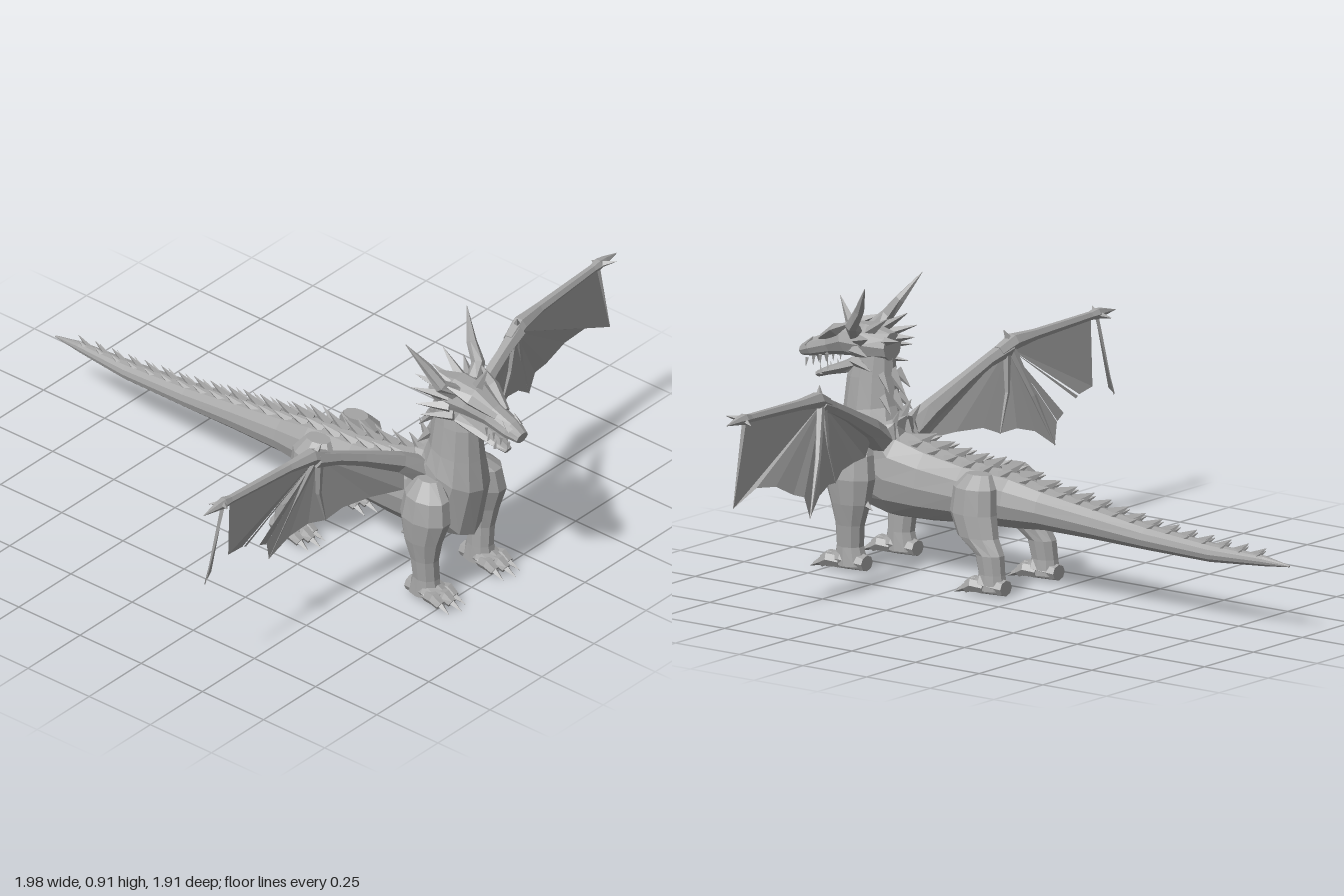
import * as THREE from 'three';

const V = (x, y, z) => new THREE.Vector3(x, y, z);
const hide = new THREE.MeshStandardMaterial({ color: 0xa4a4a4 });
hide.name = 'grey hide';
const wingSkin = new THREE.MeshStandardMaterial({ color: 0xa4a4a4, side: THREE.DoubleSide });
wingSkin.name = 'grey wing skin';

// Faceted mesh from a list of corner points, three per triangle
function facets(name, corners, material = hide) {
  const geo = new THREE.BufferGeometry().setFromPoints(corners);
  geo.computeVertexNormals();
  const mesh = new THREE.Mesh(geo, material);
  mesh.name = name;
  return mesh;
}

// Closed skin over a row of rings
function skin(name, rings) {
  const tri = [], n = rings[0].length;
  const centre = r => r.reduce((s, p) => s.add(p), V(0, 0, 0)).divideScalar(n);
  const first = rings[0], last = rings[rings.length - 1];
  const c0 = centre(first), c1 = centre(last);
  for (let j = 0; j < n; j++) {
    const k = (j + 1) % n;
    for (let i = 0; i < rings.length - 1; i++) {
      const a = rings[i], b = rings[i + 1];
      tri.push(a[j], a[k], b[j], a[k], b[k], b[j]);
    }
    tri.push(c0, first[k], first[j], c1, last[j], last[k]);
  }
  return facets(name, tri);
}

function ring(c, side, up, n) {
  return Array.from({ length: n }, (_, j) => {
    const a = (j / n) * Math.PI * 2;
    return c.clone().addScaledVector(side, Math.cos(a)).addScaledVector(up, Math.sin(a));
  });
}

// Sections: x, y, z, half width, half height, tilt in degrees
const upOf = tilt => V(0, Math.cos(tilt * Math.PI / 180), -Math.sin(tilt * Math.PI / 180));
function loft(name, sections, n = 12) {
  return skin(name, sections.map(([x, y, z, rx, ry, tilt = 0]) =>
    ring(V(x, y, z), V(rx, 0, 0), upOf(tilt).multiplyScalar(ry), n)));
}

// Tapered limb along points x, y, z, radius; flat squeezes it sideways
function limb(name, pts, n = 6, flat = 1) {
  const p = pts.map(q => V(q[0], q[1], q[2]));
  return skin(name, p.map((c, i) => {
    const t = p[Math.min(i + 1, p.length - 1)].clone().sub(p[Math.max(i - 1, 0)]).normalize();
    const side = t.clone().cross(Math.abs(t.y) > 0.95 ? V(0, 0, 1) : V(0, 1, 0)).normalize();
    const up = t.clone().cross(side);
    return ring(c, side.multiplyScalar(pts[i][3] * flat), up.multiplyScalar(pts[i][3]), n);
  }));
}
const spike = (name, a, b, r, flat = 1) => limb(name, [[...a, r], [...b, 0.001]], 4, flat);

const BODY = [
  [0, .222, -.95, .003, .003], [0, .225, -.85, .017, .017], [0, .222, -.65, .034, .03],
  [0, .235, -.4, .046, .04], [0, .252, -.2, .056, .053], [0, .268, 0, .07, .068],
  [0, .277, .12, .09, .088], [0, .28, .3, .095, .1], [0, .287, .45, .1, .12],
  [0, .3, .57, .108, .138, 6], [0, .345, .655, .108, .178, 36], [0, .43, .69, .1, .118, 66],
  [0, .5, .69, .08, .096, 82], [0, .6, .69, .064, .085, 85], [0, .68, .68, .05, .07, 75],
];

// Spine fins with smaller scales on both sides
function addSpines(g) {
  const curve = new THREE.CatmullRomCurve3(BODY.map(([x, y, z, , ry, t = 0]) =>
    V(x, y, z).addScaledVector(upOf(t), ry)));
  const width = new THREE.CatmullRomCurve3(BODY.map(s => V(s[3], 0, s[2])));
  const count = 24;
  for (let i = 0; i < count; i++) {
    const u = 0.07 + 0.88 * i / (count - 1);
    const p = curve.getPointAt(u), t = curve.getTangentAt(u);
    const up = V(0, t.z, -t.y), w = width.getPointAt(u).x, size = 0.5 + 0.5 * Math.min(1, u * 1.8);
    const at = (x, back, rise) => p.clone().addScaledVector(t, -back).addScaledVector(up, rise).setX(x).toArray();
    g.add(spike('spineFin', at(0, -.015, -.012), at(0, .06 * size, .042 * size), .028 * size, .3));
    for (const s of [-1, 1])
      g.add(spike('backScale', at(s * w * .36, -.01, -.018), at(s * w * .5, .045 * size, .02 * size), .02 * size, .6));
  }
}

function addHead(g) {
  g.add(loft('skull', [
    [0, .7, .61, .045, .045], [0, .705, .69, .072, .062, -8], [0, .705, .77, .068, .055, -15],
    [0, .68, .84, .045, .037, -18], [0, .657, .915, .04, .03, -15], [0, .642, .957, .026, .018, -10],
  ], 10));
  g.add(loft('lowerJaw', [
    [0, .64, .7, .055, .035, -25], [0, .61, .79, .043, .02, -25],
    [0, .588, .86, .032, .014, -25], [0, .572, .9, .016, .01, -25],
  ], 8));
  g.add(spike('browCrest', [0, .745, .77], [0, .835, .815], .022, .5));
  for (const s of [-1, 1]) {
    g.add(limb('horn', [[s * .045, .735, .72, .026], [s * .09, .77, .7, .022], [s * .105, .825, .66, .017], [s * .147, .912, .605, .001]]));
    g.add(limb('browRidge', [[s * .025, .695, .87, .012], [s * .058, .74, .79, .02], [s * .085, .775, .71, .001]], 4));
    g.add(spike('nostril', [s * .022, .665, .925], [s * .028, .695, .9], .014));
    // Swept spikes behind the cheeks and skull
    const sweep = [
      [.055, .715, .7, .125, .745, .61, .022], [.06, .685, .71, .115, .685, .62, .022],
      [.05, .65, .72, .095, .635, .62, .02], [.03, .74, .68, .05, .8, .59, .02],
      [.025, .715, .65, .04, .73, .555, .022],
    ];
    for (const [x, y, z, X, Y, Z, r] of sweep) g.add(spike('cheekSpike', [s * x, y, z], [s * X, Y, Z], r));
    for (let i = 0; i < 4; i++) {
      const z = .84 + i * .028;
      g.add(spike('upperTooth', [s * (.036 - i * .003), .652 - i * .009, z], [s * .033, .618 - i * .006, z], .007));
      if (i < 2) g.add(spike('lowerTooth', [s * .028, .592 - i * .012, z], [s * .026, .622 - i * .012, z + .005], .006));
    }
  }
}

// Foot with three clawed toes
function addFoot(g, s, x, heel, toe) {
  g.add(loft('foot', [[s * x, .03, heel, .03, .025], [s * x, .04, heel + .08, .045, .038], [s * x, .026, toe - .06, .046, .024]], 8));
  for (const k of [-1, 0, 1]) {
    const tx = s * x + k * .034, z = toe - Math.abs(k) * .018;
    g.add(limb('toe', [[s * x + k * .024, .03, z - .09, .022], [tx, .035, z - .05, .022], [tx, .02, z - .025, .017]]));
    g.add(spike('claw', [tx, .024, z - .03], [tx + k * .006, .004, z + .015], .013));
  }
}

function addLegs(g, s) {
  const leg = (name, rows) => g.add(loft(name, rows.map(([x, ...r]) => [s * x, ...r, -90]), 10));
  leg('frontLeg', [
    [.1, .42, .66, .03, .04], [.127, .375, .675, .055, .08], [.135, .3, .675, .06, .092],
    [.138, .22, .668, .05, .07], [.135, .15, .672, .041, .05], [.13, .08, .675, .04, .046], [.13, .02, .67, .045, .06],
  ]);
  leg('hindLeg', [
    [.09, .37, .2, .03, .045], [.112, .33, .2, .05, .076], [.12, .25, .2, .052, .084],
    [.128, .18, .175, .046, .074], [.133, .13, .125, .04, .05], [.135, .07, .115, .037, .046], [.135, .02, .115, .042, .055],
  ]);
  addFoot(g, s, .13, .61, .805);
  addFoot(g, s, .135, .06, .235);
  g.add(spike('elbowSpur', [s * .138, .23, .62], [s * .14, .205, .58], .02));
}

function addWing(g, s) {
  const bone = (name, pts, n) => g.add(limb(name, pts.map(([x, ...r]) => [s * x, ...r]), n));
  bone('wingArm', [[.08, .42, .6, .045], [.15, .47, .58, .034], [.3, .545, .555, .024], [.4, .59, .54, .022], [.485, .62, .525, .028]]);
  bone('wingForearm', [[.44, .61, .53, .022], [.5, .635, .52, .027], [.6, .64, .512, .018], [.87, .65, .502, .014], [.9, .652, .5, .019], [.93, .652, .5, .014], [.992, .648, .498, .001]]);
  bone('wristClaw', [[.49, .63, .52, .018], [.47, .675, .535, .001]], 4);
  bone('tipClaw', [[.9, .65, .5, .014], [.935, .664, .545, .001]], 4);
  bone('tipClaw', [[.9, .65, .5, .014], [.92, .64, .458, .001]], 4);
  bone('outerFinger', [[.485, .62, .52, .016], [.55, .46, .48, .01], [.625, .29, .452, .002]]);
  bone('innerFinger', [[.47, .61, .525, .016], [.46, .48, .515, .01], [.42, .355, .51, .002]]);
  bone('tipFinger', [[.9, .645, .5, .008], [.972, .38, .488, .001]], 4);

  // Skin panels as fans of points; the right wing has torn outer skin
  const wrist = [.475, .62, .522], outer = [.625, .29, .453], end = [.895, .64, .5];
  const panels = [
    [wrist, [.3, .545, .555], [.13, .46, .585], [.15, .375, .6], [.26, .385, .56], [.36, .383, .53], [.42, .357, .51]],
    [wrist, [.42, .357, .51], [.48, .365, .49], [.55, .345, .473], outer],
  ];
  if (s > 0) panels.push([wrist, outer, [.645, .36, .46], [.69, .375, .468], [.77, .415, .475], [.86, .427, .482], [.972, .38, .488], end]);
  else panels.push(
    [wrist, outer, [.645, .36, .46]], [wrist, [.65, .36, .462], [.69, .378, .468]],
    [wrist, [.76, .41, .474], [.772, .416, .475]],
    [wrist, [.78, .42, .476], [.855, .43, .482], [.87, .64, .5]],
    [end, [.94, .41, .485], [.978, .38, .488]]);
  const tri = [];
  for (const panel of panels) {
    const p = panel.map(([x, y, z]) => V(s * x, y, z));
    for (let i = 1; i < p.length - 1; i++)
      tri.push(...(s > 0 ? [p[0], p[i], p[i + 1]] : [p[0], p[i + 1], p[i]]));
  }
  g.add(facets('wingMembrane', tri, wingSkin));
}

export function createModel() {
  const model = new THREE.Group();
  model.name = 'dragon';
  const part = (name, build, ...args) => {
    const g = new THREE.Group();
    g.name = name;
    build(g, ...args);
    model.add(g);
  };
  model.add(loft('bodyAndTail', BODY, 12));
  part('spines', addSpines);
  part('head', addHead);
  for (const [s, label] of [[1, 'left'], [-1, 'right']]) {
    part(label + 'Legs', addLegs, s);
    part(label + 'Wing', addWing, s);
  }
  return model;
}
